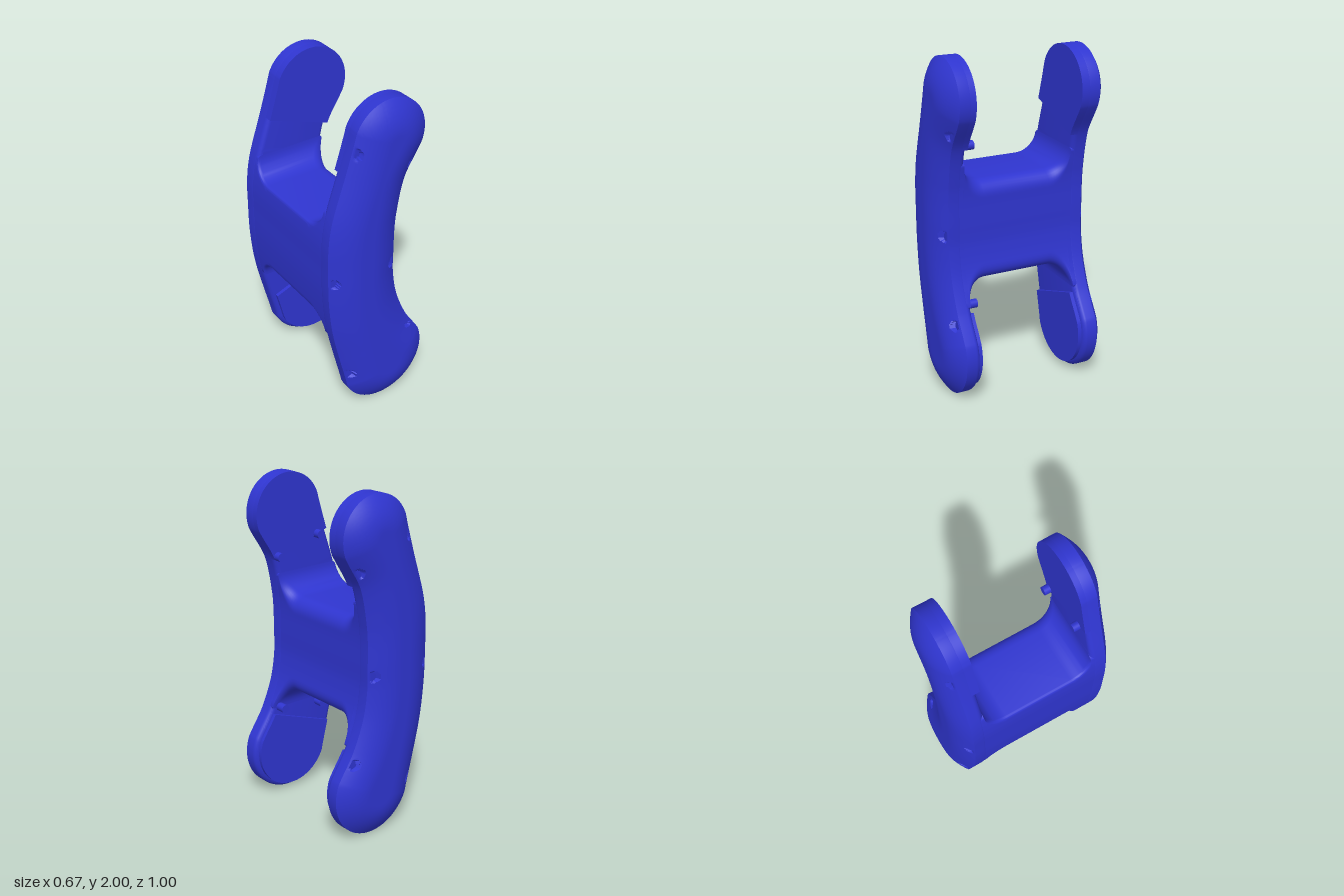
import * as THREE from 'three';
import { toCreasedNormals } from 'three/addons/utils/BufferGeometryUtils.js';

// Curved centre line of the side plates: x, y and half width
const spine = new THREE.CatmullRomCurve3([
  [0.055, 0.28, 0.277], [-0.02, 0.46, 0.245], [-0.085, 0.675, 0.227],
  [-0.113, 0.88, 0.22], [-0.115, 1.05, 0.22], [-0.113, 1.2, 0.22],
  [-0.098, 1.32, 0.217], [-0.03, 1.57, 0.205], [0.055, 1.77, 0.23],
].map(p => new THREE.Vector3(...p)));

const INNER = 0.335, RIM = 0.425, OUTER = 0.5;

// Points round the outline, counter-clockwise, each with centre, direction and half width
function outline(t0 = 0, t1 = 1, capBottom = true, capTop = true, steps = 160) {
  const pts = [];
  const at = (t, turn) => {
    const c = spine.getPoint(t), d = spine.getTangent(t);
    const a = Math.atan2(d.y, d.x) - Math.PI / 2 + turn;
    pts.push({ x: c.x, y: c.y, r: c.z, nx: Math.cos(a), ny: Math.sin(a) });
  };
  const caps = 64;
  for (let i = 0; i <= steps; i++) at(t0 + (t1 - t0) * i / steps, 0);
  if (capTop) for (let i = 1; i < caps; i++) at(t1, Math.PI * i / caps);
  for (let i = steps; i >= 0; i--) at(t0 + (t1 - t0) * i / steps, Math.PI);
  if (capBottom) for (let i = 1; i < caps; i++) at(t0, Math.PI + Math.PI * i / caps);
  return pts;
}
const edge = outline();
const edgePoints = edge.map(p => [p.x + p.nx * p.r, p.y + p.ny * p.r]);

// x of the plate edge at height y, on the right (+1) or left (-1) of the outline
function edgeX(y, side) {
  let best = -side * 9;
  edgePoints.forEach(([x0, y0], i) => {
    const [x1, y1] = edgePoints[(i + 1) % edgePoints.length];
    if ((y0 - y) * (y1 - y) > 0 || y0 === y1) return;
    const x = x0 + (x1 - x0) * (y - y0) / (y1 - y0);
    if (x * side > best * side) best = x;
  });
  return best;
}

// Closed rings of equal length joined by quads
function loft(rings, flip, crease) {
  const n = rings[0].length, index = [];
  for (let j = 0; j < rings.length - 1; j++) {
    for (let i = 0; i < n; i++) {
      const a = j * n + i, b = j * n + (i + 1) % n, c = a + n, d = b + n;
      if (flip) index.push(a, d, b, a, c, d);
      else index.push(a, b, d, a, d, c);
    }
  }
  const g = new THREE.BufferGeometry();
  g.setAttribute('position', new THREE.Float32BufferAttribute(rings.flat(2), 3));
  g.setIndex(index);
  return toCreasedNormals(g, crease);
}

// Small flat-floored notches on the domed faces
const notches = [[-0.17, 1.75], [0.187, 1.585], [-0.31, 0.98], [0.075, 0.98], [0.215, 0.485], [-0.2, 0.28]];

// Side plate: flat inside, straight rim, domed outside
function plateGeometry(sign) {
  const ring = (s, zOf) => edge.map(p => {
    const x = p.x + p.nx * p.r * s, y = p.y + p.ny * p.r * s;
    return [x, y, sign * zOf(x, y, (1 - s) * p.r)];
  });
  const dome = (x, y, depth) => {
    const t = Math.min(1, depth / 0.19);
    const z = RIM + (OUTER - RIM) * (1 - (1 - t) ** 2);
    const inNotch = notches.some(([a, b]) => Math.hypot(x - a, y - b) < 0.03);
    return inNotch ? Math.min(z, 0.432) : z;
  };
  const rings = [ring(0, () => INNER), ring(0.86, () => INNER)];
  for (let i = 1; i <= 5; i++) {
    const a = i / 5 * Math.PI / 2;
    rings.push(ring(0.86 + 0.14 * Math.sin(a), () => INNER + 0.03 * (1 - Math.cos(a))));
  }
  rings.push(ring(1, () => RIM));
  for (let i = 1; i <= 14; i++) rings.push(ring(1 - 0.035 * i, dome));
  for (let i = 1; i <= 7; i++) rings.push(ring(0.51 * (1 - i / 7), dome));
  return loft(rings, sign < 0, 0.6);
}

// Raised flat pad on the inner face at one end of a plate
function padGeometry(pts, inset, near, far) {
  const shape = new THREE.Shape(pts.map(p =>
    new THREE.Vector2(p.x + p.nx * (p.r - inset), p.y + p.ny * (p.r - inset))));
  const g = new THREE.ExtrudeGeometry(shape, { depth: far - near, bevelEnabled: false });
  return toCreasedNormals(g.translate(0, 0, near), 0.6);
}

// Bridge between the plates, flaring into them with round fillets
function bridgeGeometry() {
  const R = 0.13, stations = [[-0.37, R]];
  for (let i = 12; i >= 0; i--) {
    const a = i / 12 * Math.PI / 2;
    stations.push([-0.205 - R * Math.sin(a), R * (1 - Math.cos(a))]);
  }
  stations.push(...stations.map(([z, f]) => [-z, f]).reverse());
  const rings = stations.map(([z, flare]) => {
    const top = 1.28 + flare, bottom = 0.69 - flare, ring = [];
    const cr = 0.09 - 0.07 * flare / R, cl = 0.02;
    const put = (y, side, inset) => ring.push([edgeX(y, side) - side * (inset + 0.001), y, z]);
    const half = (side, c, dir) => {
      const pts = [];
      for (let i = 0; i <= 8; i++) {
        const a = (1 - i / 8) * Math.PI / 2;
        pts.push([bottom + c * (1 - Math.sin(a)), c * (1 - Math.cos(a))]);
      }
      for (let i = 1; i < 30; i++) pts.push([bottom + c + (top - bottom - 2 * c) * i / 30, 0]);
      for (let i = 0; i <= 8; i++) {
        const a = i / 8 * Math.PI / 2;
        pts.push([top - c * (1 - Math.sin(a)), c * (1 - Math.cos(a))]);
      }
      if (dir < 0) pts.reverse();
      pts.forEach(([y, inset]) => put(y, side, inset));
    };
    half(1, cr, 1);
    half(-1, cl, -1);
    return ring;
  });
  return loft(rings, false, 0.7);
}

export function createModel() {
  const model = new THREE.Group();
  model.name = 'doubleSidedBracket';
  const material = new THREE.MeshStandardMaterial({ color: 0x2f35d0 });
  const add = (name, geometry) => {
    const mesh = new THREE.Mesh(geometry, material);
    mesh.name = name;
    model.add(mesh);
    return mesh;
  };

  add('bridge', bridgeGeometry());
  add('frontPlate', plateGeometry(1));
  add('backPlate', plateGeometry(-1));

  // End pads
  const topEnd = outline(0.87, 1, false, true, 20);
  const bottomEnd = outline(0, 0.12, true, false, 20);
  add('frontTopPad', padGeometry(topEnd, 0.0005, 0.327, 0.38));
  add('backTopPad', padGeometry(topEnd, 0.0005, -0.38, -0.313));
  add('frontBottomPad', padGeometry(bottomEnd, 0.028, 0.315, 0.36));
  add('backBottomPad', padGeometry(bottomEnd, 0.028, -0.36, -0.313));

  // Locating pegs on the front plate
  [[-0.155, 1.605, 0.288], [0.14, 1.515, 0.288], [-0.155, 0.525, 0.277], [0.14, 0.565, 0.277]]
    .forEach(([x, y, z]) => {
      const length = 0.36 - z;
      const peg = add('locatingPeg', new THREE.CylinderGeometry(0.026, 0.026, length, 24));
      peg.rotation.x = Math.PI / 2;
      peg.position.set(x, y, z + length / 2);
    });

  return model;
}
